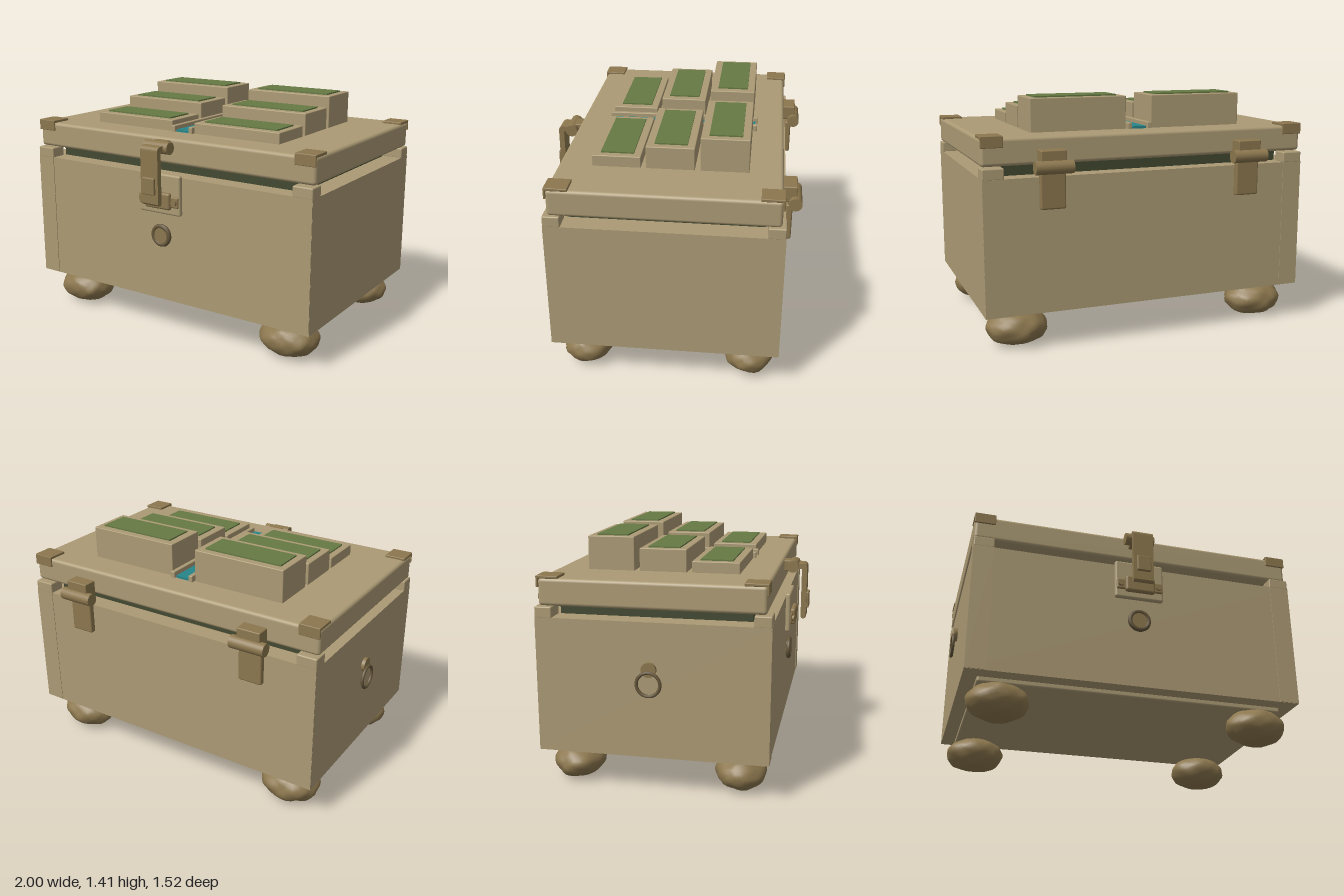
import * as THREE from 'three';
import { mergeVertices } from 'three/addons/utils/BufferGeometryUtils.js';
import { RoundedBoxGeometry } from 'three/addons/geometries/RoundedBoxGeometry.js';

const CX = 0.0165; // the chest's middle; the side ring pushes it off centre

function material(name, color) {
  const m = new THREE.MeshStandardMaterial({ color });
  m.name = name;
  return m;
}

export function createModel() {
  const tan = material('tan wood', 0xab9a74);
  const bronze = material('bronze', 0x8c774e);
  const darkBronze = material('dark bronze', 0x65563a);
  const green = material('green inlay', 0x657943);
  const darkGreen = material('dark green seal', 0x424930);
  const teal = material('teal strip', 0x27858a);

  const model = new THREE.Group();
  model.name = 'chest';

  const add = (name, geometry, mat, x = 0, y = 0, z = 0) => {
    const mesh = new THREE.Mesh(geometry, mat);
    mesh.name = name;
    mesh.position.set(x, y, z);
    model.add(mesh);
    return mesh;
  };
  // Box from its limits, x given as centre and width; r rounds the edges
  const box = (name, mat, x, w, y0, y1, z0, z1, r = 0) => {
    const h = y1 - y0, d = z1 - z0;
    const g = r ? new RoundedBoxGeometry(w, h, d, 3, r) : new THREE.BoxGeometry(w, h, d);
    return add(name, g, mat, x, (y0 + y1) / 2, (z0 + z1) / 2);
  };
  // Cylinder lying along x or z
  const rod = (name, mat, axis, r, length, x, y, z) => {
    const g = new THREE.CylinderGeometry(r, r, length, 24);
    if (axis === 'x') g.rotateZ(Math.PI / 2); else g.rotateX(Math.PI / 2);
    return add(name, g, mat, x, y, z);
  };

  // Body, plinth, seal and lid
  box('plinth', tan, CX, 1.8, 0.19, 0.23, -0.583, 0.535, 0.012);
  box('body', tan, CX, 1.963, 0.22, 0.99, -0.67, 0.628);
  box('seal', darkGreen, CX, 1.72, 0.985, 1.045, -0.563, 0.518);
  box('lid', tan, CX, 1.963, 1.055, 1.208, -0.648, 0.604, 0.02);

  for (const s of [-1, 1]) {
    for (const front of [true, false]) {
      // Corner post with its raised block
      const [z0, z1] = front ? [0.535, 0.632] : [-0.673, -0.575];
      box('cornerPost', tan, CX + s * 0.921, 0.12, 0.222, 0.99, z0, z1);
      box('postBlock', tan, CX + s * 0.921, 0.122, 0.985, 1.05, z0, z1, 0.008);
      // Lid corner cap: top plate and a lip
      const [c0, c1] = front ? [0.482, 0.612] : [-0.657, -0.532];
      box('cornerCap', bronze, CX + s * 0.921, 0.125, 1.205, 1.222, c0, c1, 0.004);
      const [l0, l1] = front ? [0.6, 0.612] : [-0.657, -0.644];
      box('capLip', bronze, CX + s * 0.921, 0.125, 1.157, 1.218, l0, l1, 0.004);
      // Stone foot
      add('foot', stoneFoot(s * 3 + (front ? 1 : 5)), bronze, CX + s * 0.77, 0.108, front ? 0.455 : -0.502);
    }
  }

  // Stepped blocks with inlays, and the channel between them
  [[0.413, 0.14, 1.272], [0.112, -0.16, 1.337], [-0.19, -0.46, 1.4]].forEach(([z1, z0, top]) => {
    for (const s of [-1, 1]) {
      box('step', tan, CX + s * 0.367, 0.576, 1.2, top, z0, z1, 0.005);
      box('stepInlay', green, CX + s * 0.37, 0.49, top - 0.001, top + 0.008, z0 + 0.043, z1 - 0.045);
    }
  });
  box('channelStrip', teal, CX, 0.085, 1.205, 1.222, -0.475, 0.42);
  for (const s of [-1, 1]) box('channelRail', tan, CX + s * 0.062, 0.027, 1.2, 1.245, -0.485, 0.43, 0.005);

  // Hinges
  for (const s of [-1, 1]) {
    const x = CX + s * 0.597;
    rod('hingeBarrel', bronze, 'x', 0.038, 0.215, x, 1.048, -0.72);
    box('upperLeaf', bronze, x, 0.145, 1.05, 1.14, -0.728, -0.64, 0.006);
    box('lowerLeaf', bronze, x, 0.145, 0.813, 1.03, -0.706, -0.668, 0.01);
  }

  // Latch: back plate, barrel, bent strap, grip and keeper
  box('latchPlate', tan, CX, 0.295, 0.765, 1.005, 0.625, 0.657, 0.012);
  box('latchMount', bronze, CX, 0.1, 1.13, 1.195, 0.595, 0.66, 0.006);
  rod('latchBarrel', bronze, 'x', 0.036, 0.175, CX, 1.162, 0.66);
  const strap = new THREE.Shape();
  strap.moveTo(0.66, 1.178);
  strap.lineTo(0.718, 1.178);
  strap.quadraticCurveTo(0.746, 1.178, 0.746, 1.15);
  strap.lineTo(0.746, 0.845);
  strap.quadraticCurveTo(0.73, 0.822, 0.714, 0.845);
  strap.lineTo(0.714, 1.146);
  strap.lineTo(0.66, 1.146);
  const strapGeometry = new THREE.ExtrudeGeometry(strap, { depth: 0.122, bevelEnabled: false, curveSegments: 6 });
  strapGeometry.rotateY(-Math.PI / 2);
  add('latchStrap', strapGeometry, bronze, CX + 0.061);
  box('latchGrip', bronze, CX, 0.085, 0.9, 1.0, 0.74, 0.761, 0.006);
  box('keeper', bronze, CX, 0.18, 0.8, 0.9, 0.65, 0.684, 0.014);
  box('keeperFlange', bronze, CX, 0.28, 0.815, 0.88, 0.65, 0.668, 0.008);
  for (const s of [-1, 1]) rod('keeperScrew', bronze, 'z', 0.018, 0.025, CX + s * 0.115, 0.848, 0.668);

  // Round lock below the latch
  rod('lockDisc', bronze, 'z', 0.056, 0.028, CX, 0.628, 0.638);
  add('lockRim', new THREE.TorusGeometry(0.056, 0.014, 10, 36), darkBronze, CX, 0.628, 0.643);

  // Ring on the right side
  rod('ringMount', bronze, 'x', 0.042, 0.022, -0.974, 0.728, -0.03);
  add('sideRing', new THREE.TorusGeometry(0.066, 0.0095, 10, 36).rotateY(Math.PI / 2), darkBronze, -0.9905, 0.65, -0.03);

  return model;
}

// Flattened sphere with a lumpy surface
function stoneFoot(seed) {
  let g = new THREE.IcosahedronGeometry(1, 6);
  g.deleteAttribute('normal');
  g.deleteAttribute('uv');
  g = mergeVertices(g);
  const p = g.attributes.position;
  const v = new THREE.Vector3();
  for (let i = 0; i < p.count; i++) {
    v.fromBufferAttribute(p, i);
    const lump = Math.sin(5 * v.x + seed) * Math.sin(4 * v.y + 2 * seed) * Math.cos(5 * v.z - seed)
      + 0.5 * Math.sin(9 * v.x - 7 * v.z + seed) * Math.cos(8 * v.y + seed);
    v.multiplyScalar(1 + 0.05 * lump);
    p.setXYZ(i, v.x * 0.178, Math.max(v.y * 0.106, -0.108), v.z * 0.147);
  }
  g.computeVertexNormals();
  return g;
}
